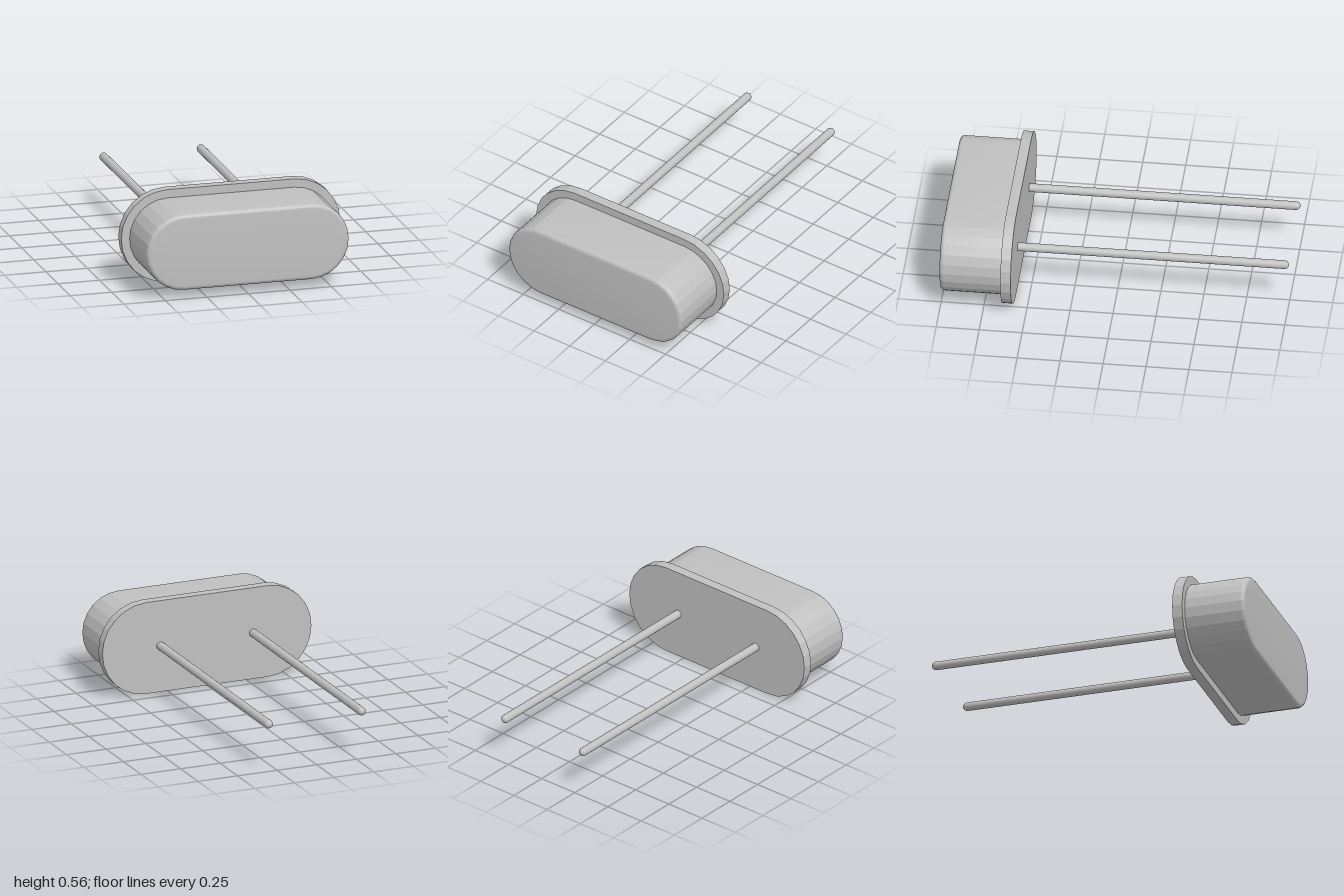
import * as THREE from 'three';
import { toCreasedNormals } from 'three/addons/utils/BufferGeometryUtils.js';

const MID_Y = 0.278; // height of the long axis
const ARC_X = 0.382; // centres of the rounded ends

// Stadium outline with 12-sided half-round ends
function stadium(radius) {
  const s = new THREE.Shape();
  s.absarc(ARC_X, MID_Y, radius, -Math.PI / 2, Math.PI / 2, false);
  s.absarc(-ARC_X, MID_Y, radius, Math.PI / 2, Math.PI * 1.5, false);
  s.closePath();
  return s;
}

export function createModel() {
  const group = new THREE.Group();
  const metal = new THREE.MeshStandardMaterial({ color: 0xc0c0c0 });
  metal.name = 'greyMetal';

  const add = (name, geometry) => {
    const mesh = new THREE.Mesh(geometry, metal);
    mesh.name = name;
    group.add(mesh);
    return mesh;
  };

  // Base flange
  const flange = new THREE.ExtrudeGeometry(stadium(0.278), {
    depth: 0.06, bevelEnabled: false, curveSegments: 6,
  });
  add('flange', flange).position.z = 0.578;

  // Can with a softly rounded front rim; its rear rim sits inside the flange
  const bevel = 0.025;
  const can = new THREE.ExtrudeGeometry(stadium(0.228), {
    depth: 0.35, curveSegments: 6,
    bevelThickness: bevel, bevelSize: bevel, bevelOffset: -bevel, bevelSegments: 8,
  });
  add('can', toCreasedNormals(can, THREE.MathUtils.degToRad(13))).position.z = 1 - bevel - 0.35;

  // Two wire leads with rounded tips
  const r = 0.025, start = 0.58, tip = -1;
  const profile = [new THREE.Vector2(r, 0)];
  const length = start - tip;
  for (let i = 0; i <= 6; i++) {
    const a = (i / 6) * Math.PI / 2;
    profile.push(new THREE.Vector2(r * Math.cos(a), length - r + r * Math.sin(a)));
  }
  for (const side of [1, -1]) {
    const lead = add(side > 0 ? 'leftLead' : 'rightLead', new THREE.LatheGeometry(profile, 20));
    lead.rotation.x = -Math.PI / 2;
    lead.position.set(side * 0.293, MID_Y + 0.002, start);
  }

  return group;
}
